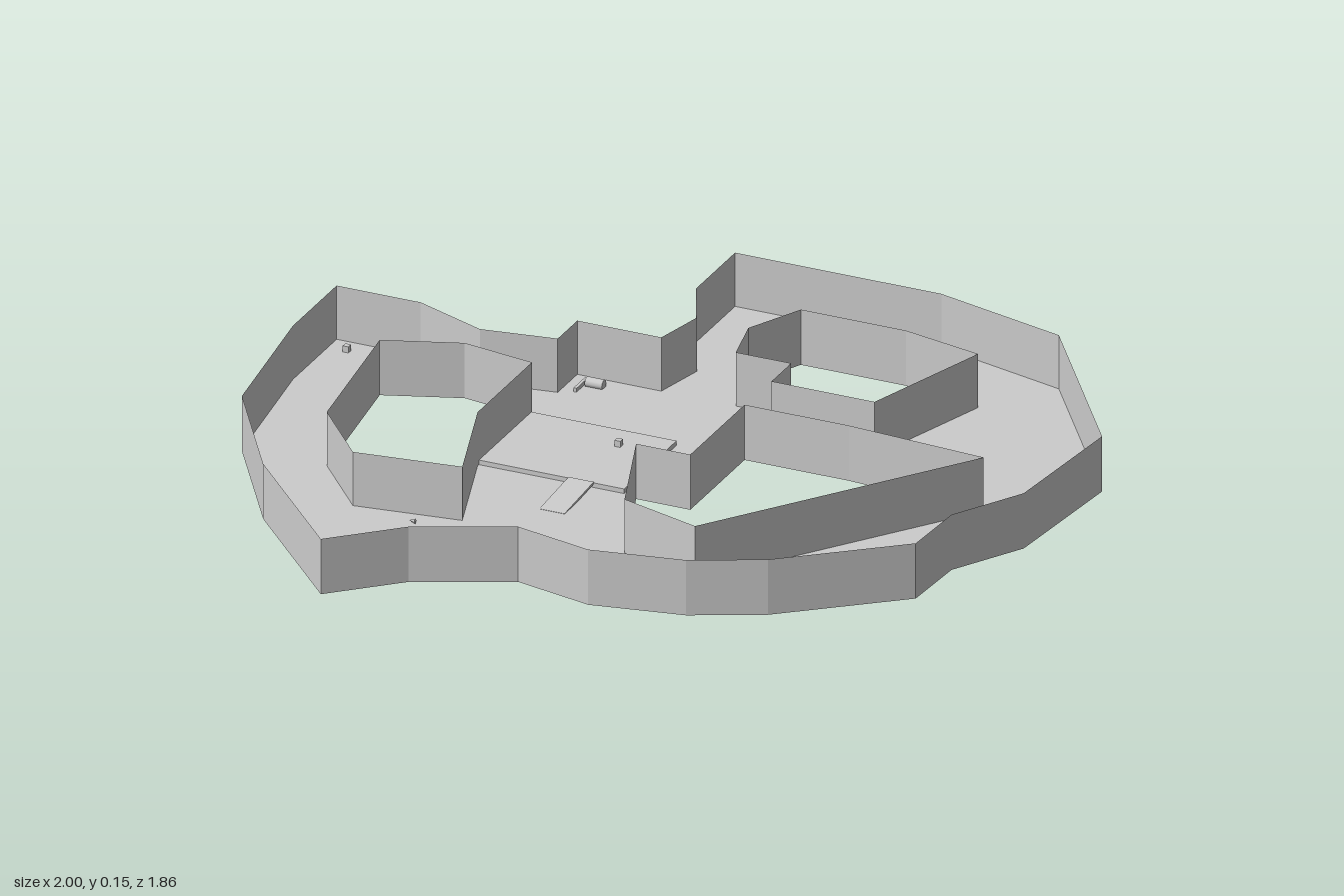
import * as THREE from 'three';

const FLOOR = 0.004;
const TOP = 0.145;

// Floor plan corners as [x, z]
const outline = [
  [-0.22, -0.93], [0.32, -0.93], [0.67, -0.84], [1, -0.375], [0.965, -0.01], [0.86, 0.17],
  [0.85, 0.35], [0.57, 0.58], [0.395, 0.665], [0.16, 0.71], [-0.045, 0.665], [-0.28, 0.775],
  [-0.44, 0.925], [-0.74, 0.605], [-0.945, 0.285], [-1, -0.12], [-1, -0.365], [-0.78, -0.365],
  [-0.59, -0.29], [-0.4, -0.32], [-0.4, -0.43], [-0.18, -0.43], [-0.15, -0.565], [-0.22, -0.71],
];
const courtyards = {
  backCourtyardWall: [[0.055, -0.71], [0.33, -0.71], [0.54, -0.665], [0.43, -0.32],
    [0.16, -0.32], [0.16, -0.43], [0.015, -0.43], [-0.015, -0.565]],
  leftCourtyardWall: [[0.157, -0.175], [0.43, -0.175], [0.795, -0.15], [0.335, 0.485],
    [0.12, 0.42], [0.015, 0.13], [0.157, 0.13]],
  rightCourtyardWall: [[-0.59, -0.205], [-0.4, -0.175], [-0.4, 0.13], [-0.305, 0.42],
    [-0.575, 0.455], [-0.725, 0.28], [-0.78, -0.135]],
};

// Upright sheet following a closed loop of corners
function wallGeometry(loop) {
  const positions = [];
  loop.forEach(([x0, z0], i) => {
    const [x1, z1] = loop[(i + 1) % loop.length];
    positions.push(x0, 0, z0, x0, TOP, z0, x1, TOP, z1);
    positions.push(x0, 0, z0, x1, TOP, z1, x1, 0, z1);
  });
  const geometry = new THREE.BufferGeometry();
  geometry.setAttribute('position', new THREE.Float32BufferAttribute(positions, 3));
  geometry.computeVertexNormals();
  return geometry;
}

export function createModel() {
  const group = new THREE.Group();
  const stone = new THREE.MeshStandardMaterial({ color: 0xcccccc, side: THREE.DoubleSide });
  stone.name = 'pale grey';

  const add = (name, geometry, x = 0, y = 0, z = 0) => {
    const mesh = new THREE.Mesh(geometry, stone);
    mesh.name = name;
    mesh.position.set(x, y, z);
    group.add(mesh);
    return mesh;
  };

  // Floor with the courtyards cut out
  const points = (loop) => loop.map(([x, z]) => new THREE.Vector2(x, -z));
  const plan = new THREE.Shape(points(outline));
  plan.holes = Object.values(courtyards).map((loop) => new THREE.Path(points(loop)));
  add('floor', new THREE.ShapeGeometry(plan).rotateX(-Math.PI / 2), 0, FLOOR, 0);

  // Walls
  add('outerWall', wallGeometry(outline));
  for (const [name, loop] of Object.entries(courtyards)) add(name, wallGeometry(loop));

  // Raised platform with its sloping ramp
  add('platform', new THREE.BoxGeometry(0.38, 0.012, 0.295), -0.21, FLOOR + 0.006, -0.025);
  const ramp = add('ramp', new THREE.BoxGeometry(0.066, 0.006, 0.165), -0.133, 0.0085, 0.203);
  ramp.rotation.x = 0.08;

  // Small marker blocks
  const markers = [[-0.08, -0.82], [-0.95, -0.315], [0.67, -0.3], [0.96, -0.365],
    [0.805, 0.315], [-0.44, 0.83]];
  for (const [x, z] of markers) add('marker', new THREE.BoxGeometry(0.015, 0.016, 0.015), x, FLOOR + 0.008, z);
  add('platformMarker', new THREE.BoxGeometry(0.015, 0.016, 0.015), -0.133, FLOOR + 0.02, -0.09);
  add('pointer', new THREE.ConeGeometry(0.007, 0.016, 4).rotateZ(Math.PI / 2), -0.405, FLOOR + 0.008, 0.487);

  // Small fixture in the back corner of the hall
  add('fixtureBar', new THREE.BoxGeometry(0.008, 0.01, 0.065), -0.363, FLOOR + 0.006, -0.37);
  add('fixtureHead', new THREE.CylinderGeometry(0.013, 0.013, 0.045, 10).rotateZ(Math.PI / 2), -0.333, FLOOR + 0.008, -0.388);

  return group;
}
